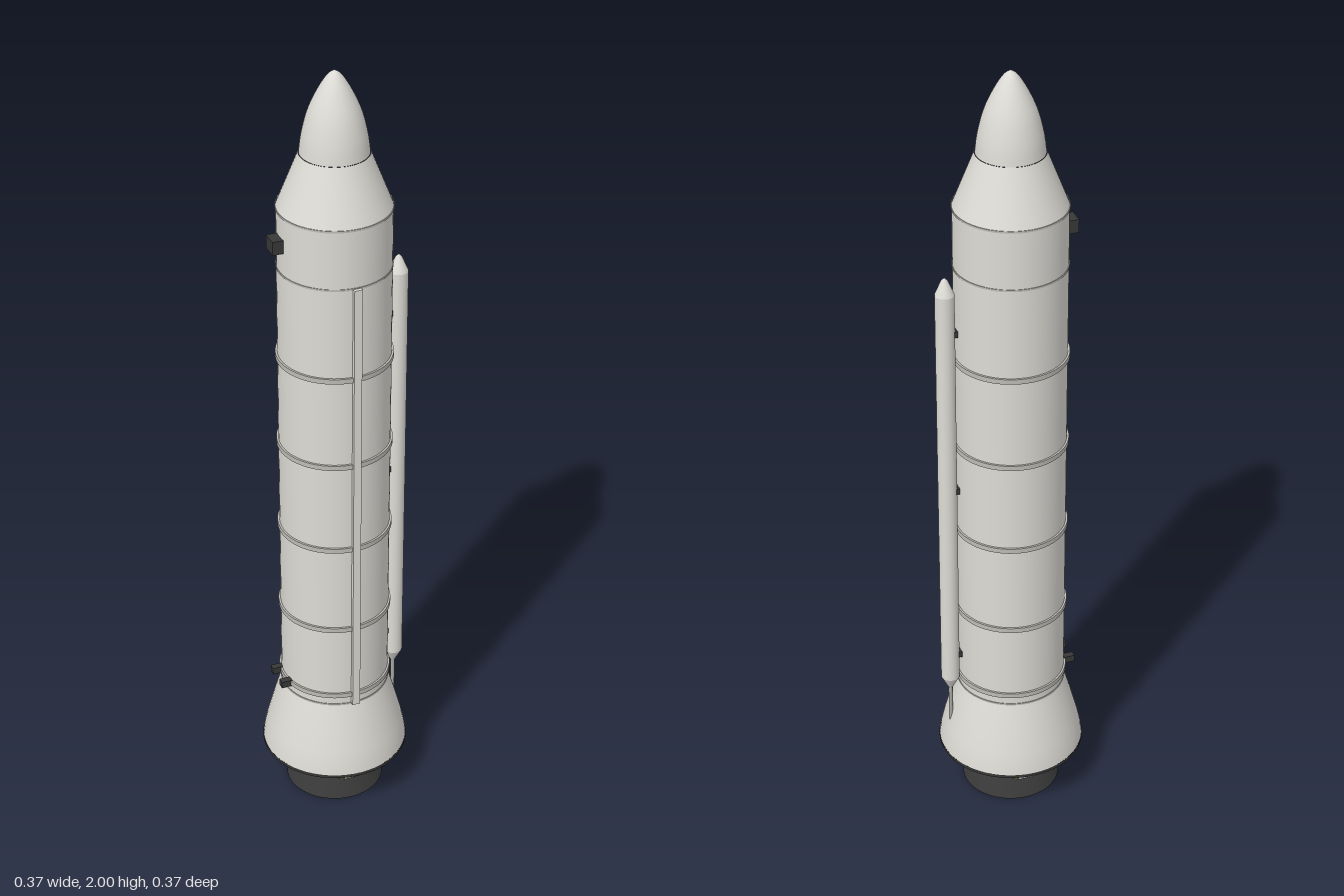
import * as THREE from 'three';

const mat = (name, color, side = THREE.FrontSide) => {
  const m = new THREE.MeshStandardMaterial({ color, side });
  m.name = name;
  return m;
};

export function createModel() {
  const shell = mat('shellWhite', 0xdddbd5);
  const band = mat('bandGrey', 0xbdbbb5);
  const dark = mat('charcoal', 0x383838, THREE.DoubleSide);
  const metal = mat('pipeGrey', 0xa8a8a4);
  const gold = mat('brass', 0xb08a35);
  const model = new THREE.Group();

  const add = (name, geometry, material, x = 0, y = 0, z = 0, parent = model) => {
    const mesh = new THREE.Mesh(geometry, material);
    mesh.name = name;
    mesh.position.set(x, y, z);
    parent.add(mesh);
    return mesh;
  };
  // profile of [radius, height] pairs, listed from bottom to top
  const lathe = (pts, segments = 64) =>
    new THREE.LatheGeometry(pts.map(([r, y]) => new THREE.Vector2(r, y)), segments);
  const box = (name, w, h, d, m, x, y, z) => add(name, new THREE.BoxGeometry(w, h, d), m, x, y, z);
  const pipe = (name, pts, r, m, parent = model) => {
    const path = new THREE.CurvePath();
    const v = pts.map(p => new THREE.Vector3(...p));
    for (let i = 1; i < v.length; i++) path.add(new THREE.LineCurve3(v[i - 1], v[i]));
    const curve = v.length > 2 ? new THREE.CatmullRomCurve3(v, false, 'centripetal') : path;
    return add(name, new THREE.TubeGeometry(curve, v.length > 2 ? 32 : 1, r, 8), m, 0, 0, 0, parent);
  };

  // Main body, shoulder and pointed nose
  const R = 0.136;
  add('body', lathe([[R, 0.32], [R, 1.665]]), shell);
  add('shoulder', lathe([[R, 1.665], [0.083, 1.8]]), shell);
  const nose = new THREE.SplineCurve([
    [0.082, 1.8], [0.076, 1.845], [0.062, 1.9], [0.04, 1.95], [0.017, 1.987], [0, 2],
  ].map(p => new THREE.Vector2(...p)));
  add('noseCone', new THREE.LatheGeometry(nose.getPoints(24), 64), shell);

  // Raised joint rings
  const ring = (name, y, h, r) => add(name, lathe([
    [R, y - h / 2], [r, y - h / 2], [r, y - h / 2], [r, y + h / 2], [r, y + h / 2], [R, y + h / 2],
  ]), band);
  for (const y of [0.35, 0.555, 0.795, 1.035, 1.275]) ring('jointRing', y, 0.013, 0.141);
  for (const y of [0.32, 1.515, 1.665]) ring('seamRing', y, 0.005, 0.1375);

  // Flared tail skirt with a dark rim and closed base
  add('skirt', lathe([[0.185, 0.128], [0.181, 0.155], [0.173, 0.19], [0.155, 0.256], [R, 0.32]]), shell);
  add('skirtRim', lathe([[0.186, 0.12], [0.186, 0.129]]), dark);
  add('skirtBase', new THREE.CircleGeometry(0.186, 64).rotateX(Math.PI / 2), dark, 0, 0.12, 0);

  // Engine bell, open at the bottom
  add('nozzle', lathe([
    [0.125, 0], [0.112, 0.025], [0.097, 0.052], [0.078, 0.082], [0.062, 0.105], [0.058, 0.125],
  ]), dark);

  // Steering gear, repeated on four sides of the bell
  for (let i = 0; i < 4; i++) {
    const gear = new THREE.Group();
    gear.name = 'steeringGear';
    gear.rotation.y = i * Math.PI / 2;
    model.add(gear);
    pipe('crossBar', [[0.117, 0.063, -0.022], [0.117, 0.063, 0.022]], 0.005, metal, gear);
    pipe('strut', [[0.07, 0.122, 0], [0.078, 0.105, 0], [0.083, 0.075, 0], [0.117, 0.063, 0]], 0.005, metal, gear);
    for (const s of [-1, 1]) {
      pipe('linkRod', [[0.117, 0.063, s * 0.022], [0.088, 0.063, s * 0.06]], 0.004, gold, gear);
    }
  }

  // Long slim side tank with pointed ends
  const tx = 0.163;
  const tr = 0.0235;
  add('sideTank', lathe([[tr, 0.35], [tr, 1.46]], 32), shell, tx);
  add('sideTankTop', lathe([[tr, 1.46], [0.008, 1.497], [0, 1.505]], 32), shell, tx);
  add('sideTankBottom', lathe([[0, 0.31], [0.006, 0.315], [tr, 0.35]], 32), shell, tx);
  for (const y of [0.42, 0.915, 1.355]) box('tankBracket', 0.016, 0.016, 0.028, dark, 0.14, y, 0);
  pipe('feedPipe', [
    [tx, 0.33, 0], [tx, 0.2, 0], [tx, 0.09, 0], [0.157, 0.075, 0], [0.13, 0.067, 0], [0.11, 0.063, 0],
  ], 0.0055, metal);

  // Cable duct down the front
  box('cableDuct', 0.02, 1.195, 0.014, shell, 0, 0.9175, 0.139);

  // Dark equipment boxes on the right
  box('equipmentBox', 0.028, 0.034, 0.042, dark, -0.147, 1.592, 0);
  for (const s of [-1, 1]) box('lowerBox', 0.028, 0.018, 0.017, dark, -0.146, 0.35, s * 0.031);

  return model;
}
